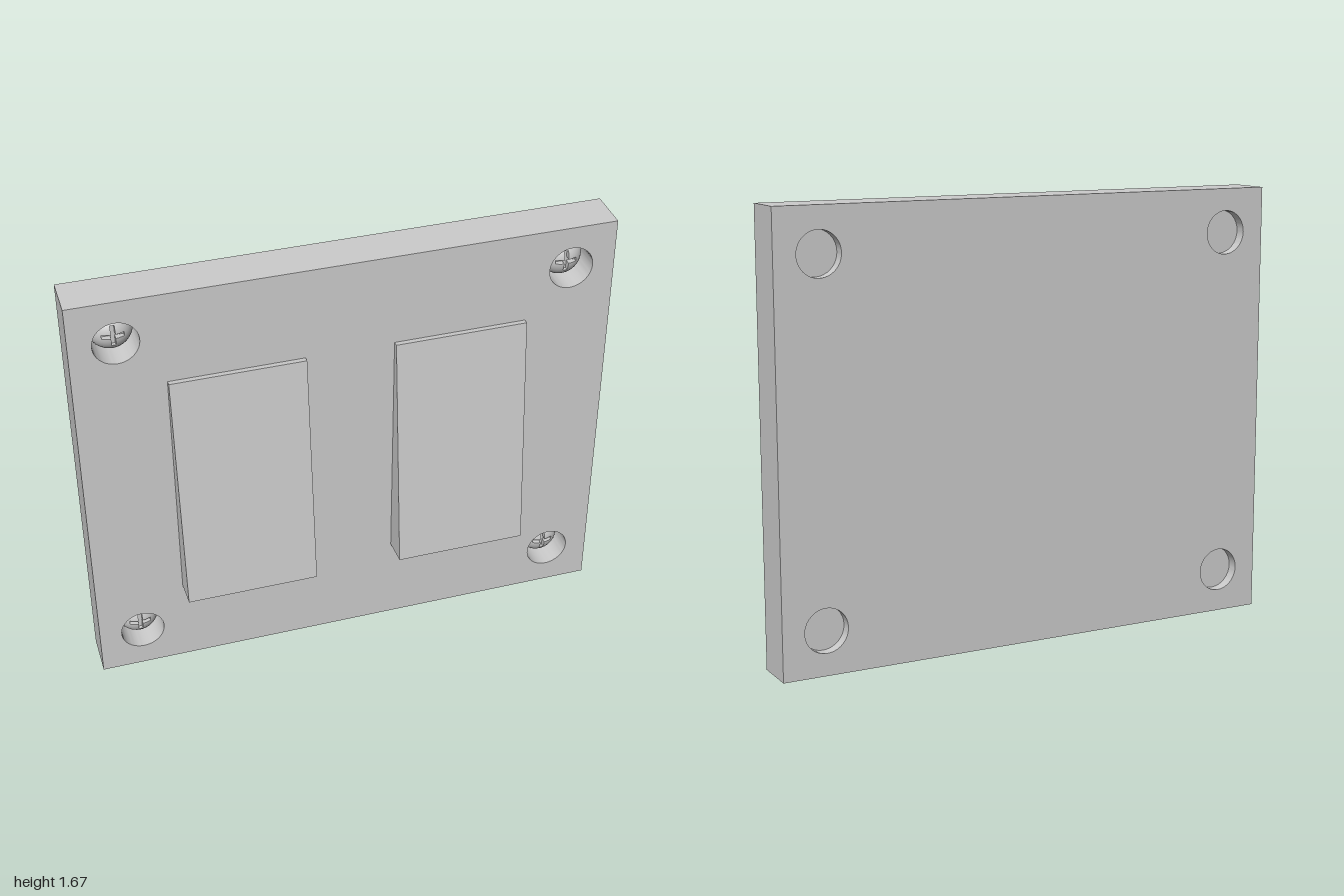
import * as THREE from 'three';
import { toCreasedNormals } from 'three/addons/utils/BufferGeometryUtils.js';

const W = 2, H = 1.667, BACK = -0.139, FRONT = 0.027, R = 0.083;
const SCREWS = [[-0.833, 0.167], [0.833, 0.167], [-0.833, 1.5], [0.833, 1.5]];
const material = new THREE.MeshStandardMaterial({ color: 0xcccccc });

function addMesh(parent, name, geometry) {
  const mesh = new THREE.Mesh(geometry, material);
  mesh.name = name;
  parent.add(mesh);
  return mesh;
}

// Skin between closed rings of Vector3, ordered from the outside inwards
function loft(rings) {
  const n = rings[0].length, index = [];
  for (let r = 0; r < rings.length - 1; r++) {
    for (let i = 0; i < n; i++) {
      const a = r * n + i, b = r * n + (i + 1) % n;
      index.push(a, b, b + n, a, b + n, a + n);
    }
  }
  const geometry = new THREE.BufferGeometry().setFromPoints(rings.flat());
  geometry.setIndex(index);
  geometry.computeVertexNormals();
  return geometry;
}

// Plate with four round through-holes
function plateGeometry() {
  const shape = new THREE.Shape([
    new THREE.Vector2(-W / 2, 0), new THREE.Vector2(W / 2, 0),
    new THREE.Vector2(W / 2, H), new THREE.Vector2(-W / 2, H),
  ]);
  for (const [x, y] of SCREWS) {
    shape.holes.push(new THREE.Path().absarc(x, y, R, 0, Math.PI * 2, true));
  }
  const geometry = new THREE.ExtrudeGeometry(shape, {
    depth: FRONT - BACK, bevelEnabled: false, curveSegments: 32,
  });
  geometry.translate(0, 0, BACK);
  return toCreasedNormals(geometry, 0.6);
}

// Hemispherical screw head with a sunken cross slot
function makeScrew() {
  const screw = new THREE.Group();
  const a = 0.04, w = 0.008, floor = 0.058;
  const quarter = [[a, 0], [a, w], [0.03, w], [0.018, w], [w, w], [w, 0.018], [w, 0.03], [w, a]];
  const cross = [];
  for (let q = 0; q < 4; q++) {
    for (const [x, y] of quarter) {
      cross.push(new THREE.Vector2(x, y).rotateAround(new THREE.Vector2(), q * Math.PI / 2));
    }
  }
  const rim = cross.map((_, i) => {
    const t = i / cross.length * Math.PI * 2;
    return new THREE.Vector2(Math.cos(t) * R, Math.sin(t) * R);
  });
  const onDome = (p) => new THREE.Vector3(p.x, p.y, Math.sqrt(Math.max(0, R * R - p.lengthSq())));

  const rings = [];
  for (let k = 0; k <= 10; k++) {
    const t = Math.cos(k / 10 * Math.PI / 2);
    rings.push(cross.map((p, i) => onDome(p.clone().lerp(rim[i], t))));
  }
  const dome = loft(rings);
  const normals = rings.flat().map((p) => p.clone().normalize().toArray()).flat();
  dome.setAttribute('normal', new THREE.Float32BufferAttribute(normals, 3));
  addMesh(screw, 'screwDome', dome);

  const bottom = cross.map((p) => new THREE.Vector3(p.x, p.y, floor));
  const walls = loft([cross.map(onDome), bottom]);
  addMesh(screw, 'slotWalls', toCreasedNormals(walls, 0.5));
  addMesh(screw, 'slotFloor', loft([bottom, bottom.map(() => new THREE.Vector3(0, 0, floor))]));
  addMesh(screw, 'screwBack', new THREE.CircleGeometry(R, 32).rotateY(Math.PI));
  return screw;
}

export function createModel() {
  const model = new THREE.Group();
  model.name = 'doubleSwitchPlate';
  addMesh(model, 'plate', plateGeometry());

  // Tilted rockers, sunk into the plate
  const tilt = 0.0935, depth = 0.14;
  for (const side of [-1, 1]) {
    const rocker = addMesh(model, side < 0 ? 'rightRocker' : 'leftRocker',
      new THREE.BoxGeometry(0.5, 0.951, depth).translate(0, 0, -depth / 2));
    rocker.position.set(side * 0.416, 0.8355, 0.0935);
    rocker.rotation.x = -tilt;
  }

  // Screws recessed in the holes
  SCREWS.forEach(([x, y], i) => {
    const screw = makeScrew();
    screw.name = `screw${i + 1}`;
    screw.position.set(x, y, -0.098);
    model.add(screw);
  });
  return model;
}
